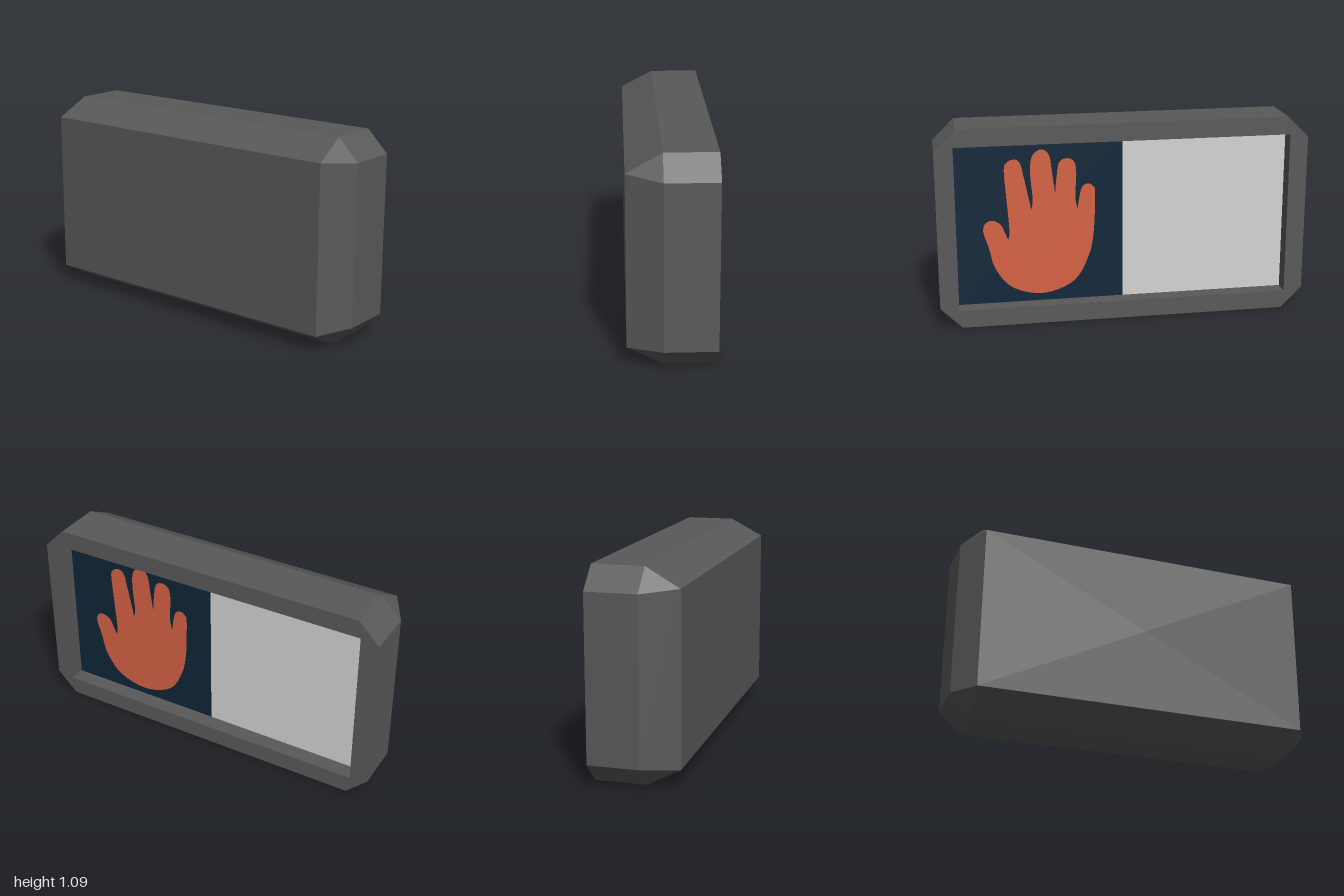
import * as THREE from 'three';

const CENTRE_Y = 0.546;

// Rectangle with cut corners at depth x, anticlockwise as seen from +x
function ring(x, halfZ, halfY, cut) {
  const pts = [
    [-halfZ + cut, -halfY], [halfZ - cut, -halfY],
    [halfZ, -halfY + cut], [halfZ, halfY - cut],
    [halfZ - cut, halfY], [-halfZ + cut, halfY],
    [-halfZ, halfY - cut], [-halfZ, -halfY + cut],
  ];
  return pts.map(([u, v]) => new THREE.Vector3(x, CENTRE_Y + v, -u));
}

// Flat-faced skin joining consecutive rings, skipping collapsed triangles
function loft(rings) {
  const pos = [];
  const tri = (a, b, c) => {
    if (new THREE.Triangle(a, b, c).getArea() < 1e-7) return;
    for (const p of [a, b, c]) pos.push(p.x, p.y, p.z);
  };
  for (let r = 0; r < rings.length - 1; r++) {
    const a = rings[r], b = rings[r + 1];
    for (let i = 0; i < 8; i++) {
      const j = (i + 1) % 8;
      tri(a[i], b[i], b[j]);
      tri(a[i], b[j], a[j]);
    }
  }
  const geo = new THREE.BufferGeometry();
  geo.setAttribute('position', new THREE.Float32BufferAttribute(pos, 3));
  geo.computeVertexNormals();
  return geo;
}

// Open hand outline: one smooth curve per finger, sharp valleys between them
function handShape() {
  const index = [[-0.615, 0.508], [-0.626, 0.679], [-0.636, 0.84], [-0.62, 0.882],
    [-0.583, 0.898], [-0.551, 0.877], [-0.529, 0.786], [-0.495, 0.615]];
  const middle = [[-0.487, 0.679], [-0.497, 0.813], [-0.487, 0.909], [-0.438, 0.947],
    [-0.396, 0.914], [-0.38, 0.813], [-0.366, 0.7]];
  const ringFinger = [[-0.358, 0.786], [-0.342, 0.872], [-0.299, 0.893], [-0.262, 0.872],
    [-0.251, 0.813], [-0.257, 0.679], [-0.246, 0.61]];
  const littlePalmThumb = [[-0.235, 0.679], [-0.219, 0.733], [-0.187, 0.749], [-0.155, 0.727],
    [-0.15, 0.679], [-0.16, 0.465], [-0.193, 0.326], [-0.273, 0.198], [-0.438, 0.139],
    [-0.604, 0.182], [-0.695, 0.294], [-0.727, 0.412], [-0.754, 0.503], [-0.743, 0.551],
    [-0.706, 0.567], [-0.663, 0.545], [-0.642, 0.503], [-0.623, 0.455]];
  const shape = new THREE.Shape().moveTo(-0.623, 0.455);
  for (const part of [index, middle, ringFinger, littlePalmThumb]) {
    shape.splineThru(part.map(([u, v]) => new THREE.Vector2(u, v)));
  }
  return shape;
}

export function createModel() {
  const material = (name, color) => {
    const m = new THREE.MeshStandardMaterial({ color });
    m.name = name;
    return m;
  };
  const housingGrey = material('housingGrey', 0x595959);
  const navy = material('navy', 0x0e2639);
  const paleGrey = material('paleGrey', 0xd4d4d4);
  const orange = material('orange', 0xd56243);

  const group = new THREE.Group();
  group.name = 'crossingSignal';
  const add = (name, geo, mat, x = 0, y = 0, z = 0) => {
    const mesh = new THREE.Mesh(geo, mat);
    mesh.name = name;
    mesh.position.set(x, y, z);
    group.add(mesh);
    return mesh;
  };

  // Housing: recess walls, rim, straight sides, tapered back and back plate
  add('housing', loft([
    ring(0.137, 0.9, 0.448, 0),
    ring(0.225, 0.9, 0.448, 0),
    ring(0.225, 1, 0.546, 0.115),
    ring(-0.045, 1, 0.546, 0.115),
    ring(-0.225, 0.9, 0.448, 0),
    ring(-0.225, 0, 0, 0),
  ]), housingGrey);

  // Two display panels side by side at the bottom of the recess
  const panel = new THREE.PlaneGeometry(0.9, 0.896).rotateY(Math.PI / 2);
  add('handPanel', panel, navy, 0.137, CENTRE_Y, 0.45);
  add('blankPanel', panel, paleGrey, 0.137, CENTRE_Y, -0.45);

  // Hand symbol just in front of its panel
  const hand = new THREE.ShapeGeometry(handShape(), 5).rotateY(Math.PI / 2);
  add('handSymbol', hand, orange, 0.14);

  return group;
}
